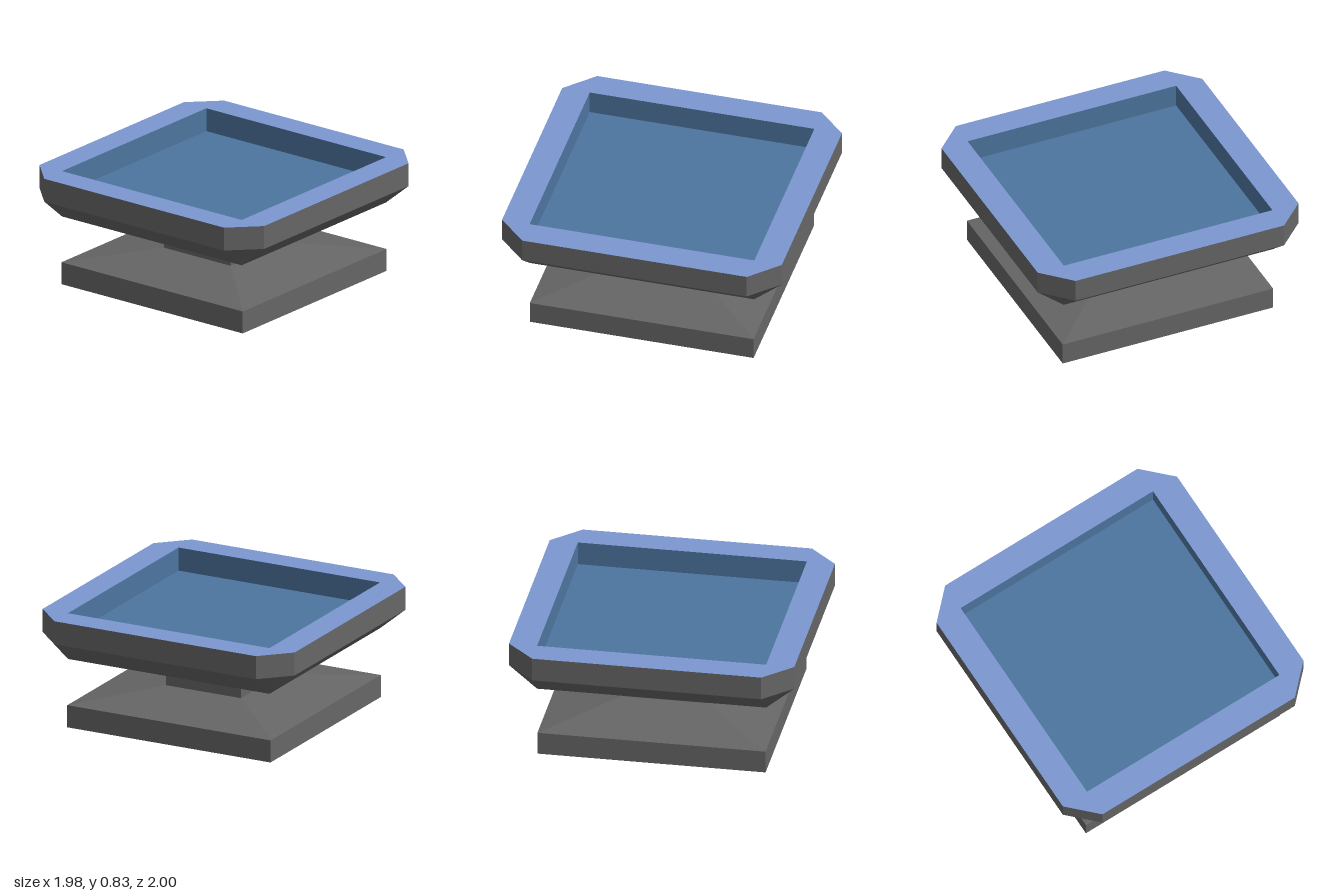
import * as THREE from 'three';

// Eight-point ring at height y: a rectangle (ix, iz) whose sides are pushed out to (ox, oz).
// With ox = ix and oz = iz the chamfers vanish and it is a plain rectangle.
function ring(y, ix, iz, ox = ix, oz = iz) {
  return [[ox, iz], [ix, oz], [-ix, oz], [-ox, iz], [-ox, -iz], [-ix, -oz], [ix, -oz], [ox, -iz]]
    .map(([x, z]) => new THREE.Vector3(x, y, z));
}

// Faceted skin through successive rings, skipping collapsed triangles.
function loft(name, material, rings) {
  const points = [];
  const tri = (a, b, c) => {
    if (new THREE.Triangle(a, b, c).getArea() > 1e-6) points.push(a, b, c);
  };
  for (let r = 0; r + 1 < rings.length; r++) {
    const a = rings[r], b = rings[r + 1];
    for (let i = 0; i < 8; i++) {
      const j = (i + 1) % 8;
      tri(a[i], b[i], b[j]);
      tri(a[i], b[j], a[j]);
    }
  }
  const geometry = new THREE.BufferGeometry().setFromPoints(points);
  geometry.computeVertexNormals();
  const mesh = new THREE.Mesh(geometry, material);
  mesh.name = name;
  return mesh;
}

function flat(name, color) {
  const material = new THREE.MeshStandardMaterial({ color });
  material.name = name;
  return material;
}

export function createModel() {
  const stone = flat('dark grey stone', 0x666666);
  const rimBlue = flat('light blue rim', 0x7c98d2);
  const basinBlue = flat('deep blue basin', 0x4d759f);

  const TOP = 0.833, FLOOR = 0.665;
  const IX = 0.79, IZ = 0.803, OX = 0.988, OZ = 1;
  const columnLow = ring(0.238, 0.294, 0.297);
  const columnHigh = ring(0.402, 0.294, 0.297);
  const outerTop = ring(TOP, IX, IZ, OX, OZ);
  const innerTop = ring(TOP, IX, IZ);

  const group = new THREE.Group();
  group.name = 'pedestalBasin';
  group.add(
    // Square plinth with closed underside and sloping top
    loft('base', stone, [ring(0, 0, 0), ring(0, 0.797, 0.8), ring(0.161, 0.797, 0.8), columnLow]),
    loft('column', stone, [columnLow, columnHigh]),
    // Bowl flares from the column to a chamfered outer wall
    loft('bowl', stone, [columnHigh, ring(0.5, IX, IZ), ring(FLOOR, IX, IZ, OX, OZ), outerTop]),
    loft('rim', rimBlue, [outerTop, innerTop]),
    // Sunken inner walls and floor
    loft('basin', basinBlue, [innerTop, ring(FLOOR, IX, IZ), ring(FLOOR, 0, 0)]),
  );
  return group;
}
